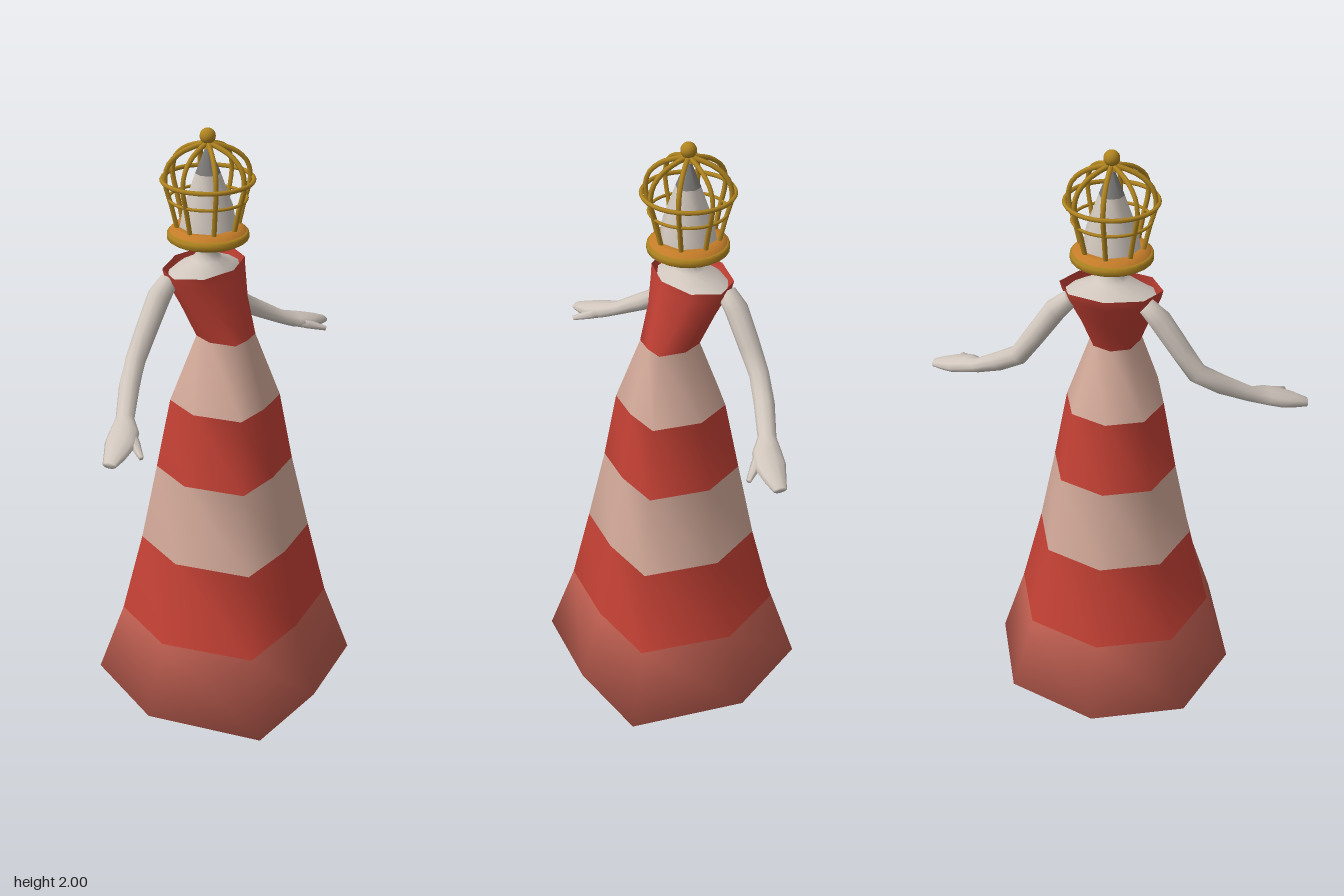
import * as THREE from 'three';

const mat = (name, color, side = THREE.FrontSide) =>
  Object.assign(new THREE.MeshStandardMaterial({ color, side }), { name });

// Smooth surface through rings of points (counter-clockwise about the direction of travel)
function loft(rings, capStart = false, capEnd = false) {
  const n = rings[0].length, pos = [], idx = [];
  rings.forEach(r => r.forEach(p => pos.push(p.x, p.y, p.z)));
  for (let i = 0; i < rings.length - 1; i++) {
    for (let j = 0; j < n; j++) {
      const a = i * n + j, b = i * n + (j + 1) % n;
      idx.push(a, b, a + n, b, b + n, a + n);
    }
  }
  const cap = (i, flip) => {
    const c = new THREE.Vector3();
    rings[i].forEach(p => c.addScaledVector(p, 1 / n));
    const k = pos.length / 3;
    pos.push(c.x, c.y, c.z);
    for (let j = 0; j < n; j++) {
      const a = i * n + j, b = i * n + (j + 1) % n;
      flip ? idx.push(k, b, a) : idx.push(k, a, b);
    }
  };
  if (capStart) cap(0, true);
  if (capEnd) cap(rings.length - 1, false);
  const g = new THREE.BufferGeometry();
  g.setAttribute('position', new THREE.Float32BufferAttribute(pos, 3));
  g.setIndex(idx);
  g.computeVertexNormals();
  return g;
}

// Horizontal ellipse ring
function ellipse(cx, y, rx, rz, n = 12) {
  return Array.from({ length: n }, (_, j) => {
    const a = j / n * Math.PI * 2;
    return new THREE.Vector3(cx + rx * Math.cos(a), y, -rz * Math.sin(a));
  });
}

// Eight-cornered skirt ring, squarer towards +x
function skirtRing(y, x0, x1, rz, tilt = 0) {
  const c = (x0 + x1) / 2, r = (x1 - x0) / 2;
  return [[1, 0], [0.92, -0.72], [0, -1], [-0.73, -0.73], [-1, 0], [-0.73, 0.73], [0, 1], [0.92, 0.72]]
    .map(([u, w]) => new THREE.Vector3(c + u * r, y - u * tilt, w * rz));
}

// Limb along a path of [x, y, z, half width, half thickness]
function limb(rows, n = 10) {
  const pts = rows.map(r => new THREE.Vector3(r[0], r[1], r[2]));
  const rings = rows.map((r, i) => {
    const t = pts[Math.min(i + 1, pts.length - 1)].clone().sub(pts[Math.max(i - 1, 0)]).normalize();
    const side = new THREE.Vector3(0, 1, 0).cross(t).normalize();
    const up = t.clone().cross(side);
    return Array.from({ length: n }, (_, j) => {
      const a = j / n * Math.PI * 2;
      return pts[i].clone().addScaledVector(side, r[3] * Math.cos(a)).addScaledVector(up, r[4] * Math.sin(a));
    });
  });
  return loft(rings, true, true);
}

export function createModel() {
  const red = mat('red cloth', 0xc24034, THREE.DoubleSide);
  const hemRed = mat('faded red hem', 0xc26052, THREE.DoubleSide);
  const beige = mat('beige cloth', 0xd1a898, THREE.DoubleSide);
  const skin = mat('pale skin', 0xd0c6bd);
  const gold = mat('gold', 0xb08420);
  const amber = mat('amber', 0xc47c28);
  const grey = mat('grey', 0x7c7a78);
  const root = new THREE.Group();
  const add = (name, geo, m, parent = root) => {
    const mesh = new THREE.Mesh(geo, m);
    mesh.name = name;
    parent.add(mesh);
    return mesh;
  };

  // Striped skirt, closed underneath with the hem shaded softly into the underside
  const levels = [
    [0.01, -0.42, 0.42, 0.43, 0.008], [0.275, -0.325, 0.335, 0.345], [0.57, -0.255, 0.28, 0.27],
    [0.85, -0.2, 0.225, 0.212], [1.1, -0.152, 0.187, 0.165], [1.33, -0.065, 0.118, 0.082],
  ].map(l => skirtRing(...l));
  const under = skirtRing(0.025, -0.22, 0.22, 0.22);
  add('hem', loft([under, levels[0], levels[1]], true), hemRed);
  [red, beige, red, beige].forEach((m, i) =>
    add('skirtStripe' + (i + 1), loft([levels[i + 1], levels[i + 2]]), m));

  // Bodice leaning back and widening to the shoulders
  add('bodice', loft([
    skirtRing(1.33, -0.065, 0.118, 0.082), ellipse(-0.011, 1.44, 0.103, 0.122, 8),
    ellipse(-0.045, 1.53, 0.113, 0.158, 8), ellipse(-0.05, 1.56, 0.113, 0.165, 8),
  ]), red);

  // Neck flowing into the chest
  add('neck', loft([
    ellipse(-0.05, 1.54, 0.1, 0.145), ellipse(-0.045, 1.56, 0.08, 0.1), ellipse(-0.038, 1.58, 0.048, 0.05),
    ellipse(-0.035, 1.6, 0.037, 0.037), ellipse(-0.035, 1.625, 0.037, 0.037), ellipse(-0.035, 1.65, 0.055, 0.055),
  ]), skin);

  // Arms spread to both sides, with hands and thumbs
  for (const s of [1, -1]) {
    const arm = new THREE.Group();
    arm.name = s > 0 ? 'frontArm' : 'backArm';
    root.add(arm);
    const mirrored = rows => rows.map(([x, y, z, w, h]) => [x, y, z * s, w, h]);
    add('armAndHand', limb(mirrored([
      [-0.1, 1.53, 0.12, 0.032, 0.028], [-0.108, 1.49, 0.165, 0.038, 0.036], [-0.113, 1.39, 0.235, 0.035, 0.034],
      [-0.115, 1.315, 0.288, 0.033, 0.033], [-0.083, 1.262, 0.365, 0.033, 0.031], [-0.033, 1.205, 0.455, 0.029, 0.024],
      [-0.002, 1.187, 0.5, 0.046, 0.027], [0.017, 1.173, 0.545, 0.049, 0.025], [0.031, 1.16, 0.59, 0.036, 0.021],
      [0.042, 1.15, 0.632, 0.022, 0.012],
    ])), skin, arm);
    add('thumb', limb(mirrored([
      [0.01, 1.185, 0.492, 0.022, 0.02], [0.05, 1.172, 0.518, 0.018, 0.016], [0.1, 1.155, 0.552, 0.008, 0.008],
    ]), 6), skin, arm);
  }

  // Birdcage head
  const cage = new THREE.Group();
  cage.name = 'birdcage';
  cage.position.x = -0.034;
  root.add(cage);
  const V = (r, y) => new THREE.Vector2(r, y);
  add('cageBase', new THREE.LatheGeometry([
    V(0, 1.645), V(0.12, 1.645), V(0.13, 1.652), V(0.13, 1.668), V(0.122, 1.675), V(0, 1.675),
  ], 24), gold, cage);
  add('cageFloor', new THREE.LatheGeometry([
    V(0.122, 1.676), V(0.108, 1.69), V(0.09, 1.69), V(0, 1.682),
  ], 24), amber, cage);
  const ring = (name, r, y, t) => {
    add(name, new THREE.TorusGeometry(r, t, 6, 32).rotateX(Math.PI / 2).translate(0, y, 0), gold, cage);
  };
  ring('middleRing', 0.122, 1.78, 0.005);
  ring('upperRing', 0.143, 1.84, 0.007);
  const curve = new THREE.CatmullRomCurve3([
    [0.097, 1.68], [0.115, 1.76], [0.134, 1.84], [0.123, 1.89], [0.086, 1.926], [0.04, 1.945], [0, 1.955],
  ].map(([r, y]) => new THREE.Vector3(r, y, 0)));
  for (let i = 0; i < 8; i++) {
    add('cageBar', new THREE.TubeGeometry(curve, 18, 0.008, 6), gold, cage).rotation.y = i * Math.PI / 4;
  }
  add('cageCap', new THREE.CylinderGeometry(0.012, 0.024, 0.02, 12).translate(0, 1.951, 0), gold, cage);
  add('cageKnob', new THREE.SphereGeometry(0.025, 16, 12).translate(0, 1.975, 0), gold, cage);

  // Pointed form inside the cage
  add('innerCone', loft([
    ellipse(0, 1.68, 0.092, 0.092, 8), ellipse(0, 1.75, 0.08, 0.08, 8), ellipse(0, 1.86, 0.04, 0.04, 8),
  ]), skin, cage);
  add('innerConeTip', loft([ellipse(0, 1.86, 0.04, 0.04, 8), ellipse(0, 1.945, 0.006, 0.006, 8)]), grey, cage);
  return root;
}
